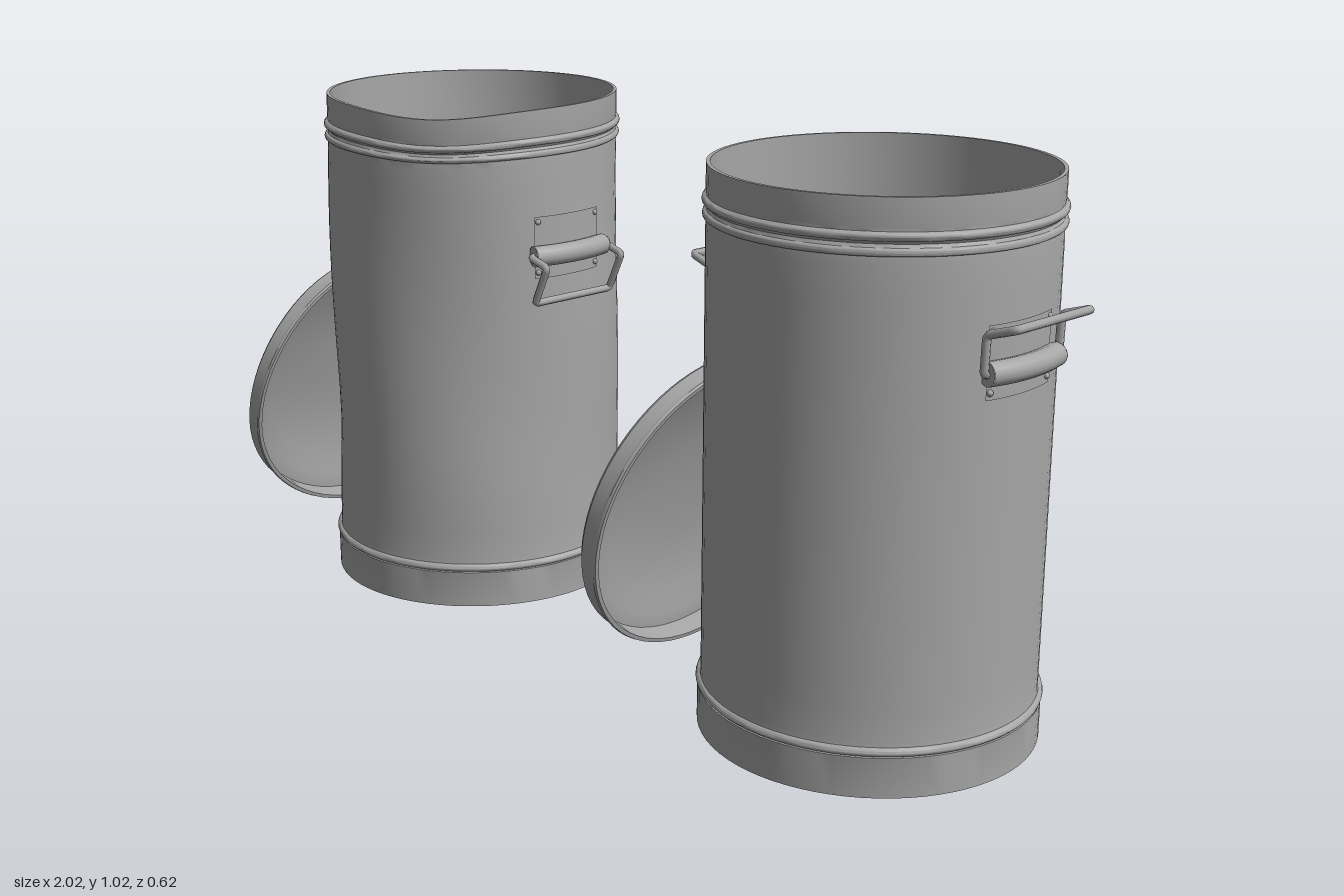
import * as THREE from 'three';
import { toCreasedNormals } from 'three/addons/utils/BufferGeometryUtils.js';

const metal = new THREE.MeshStandardMaterial({ color: 0xa6a6a6, side: THREE.DoubleSide });
metal.name = 'galvanised metal';

function add(parent, name, geometry) {
  const mesh = new THREE.Mesh(geometry, metal);
  mesh.name = name;
  parent.add(mesh);
  return mesh;
}

// Revolved profile, optionally reshaped by a rule, with crisp edges kept
function revolve(points, rule) {
  const geo = new THREE.LatheGeometry(points.map(([r, y]) => new THREE.Vector2(r, y)), 72);
  if (rule) {
    const p = geo.attributes.position, v = new THREE.Vector3();
    for (let i = 0; i < p.count; i++) {
      rule(v.fromBufferAttribute(p, i));
      p.setXYZ(i, v.x, v.y, v.z);
    }
  }
  return toCreasedNormals(geo, 0.6);
}

// Half-round bead bulging out from radius r at height y
function bead(r, y, size) {
  return [0, 1, 2, 3, 4, 5, 6].map(i => {
    const a = -Math.PI / 2 + i * Math.PI / 6;
    return [r + size * Math.cos(a), y + size * Math.sin(a)];
  });
}

// Rod through points with tightly rounded corners
function rod(points, radius, bend = 0.018) {
  const pts = points.map(p => new THREE.Vector3(...p));
  const path = new THREE.CurvePath();
  let from = pts[0];
  for (let i = 1; i < pts.length - 1; i++) {
    const c = pts[i];
    const a = c.clone().add(pts[i - 1].clone().sub(c).setLength(bend));
    const b = c.clone().add(pts[i + 1].clone().sub(c).setLength(bend));
    path.add(new THREE.LineCurve3(from, a));
    path.add(new THREE.QuadraticBezierCurve3(a, c, b));
    from = b;
  }
  path.add(new THREE.LineCurve3(from, pts[pts.length - 1]));
  return new THREE.TubeGeometry(path, 90, radius, 8);
}

// Gentle dents for the battered can
function dentBody(v) {
  const a = Math.atan2(v.z, v.x);
  const h = THREE.MathUtils.smoothstep(v.y, 0.1, 0.4);
  const s = 1 + h * (0.012 * Math.sin(2 * a + 5 * v.y) - 0.016 + 0.01 * Math.sin(3 * a - 7 * v.y))
    * (1 - 0.4 * THREE.MathUtils.smoothstep(v.y, 0.85, 1));
  v.x *= s;
  v.z *= s;
  const top = THREE.MathUtils.smoothstep(v.y, 0.85, 1.02);
  v.y -= top * 0.016 * Math.exp(-Math.pow((a - 0.95) / 0.5, 2));
}

function dentLid(v) {
  const a = Math.atan2(v.z, v.x), r = Math.hypot(v.x, v.z);
  v.y += 0.006 * Math.sin(3 * a + 1) * (r / 0.3) ** 2;
}

// Side handle on the +x wall: plate, rivets, curved barrel and swinging bail
function sideHandle(lowered) {
  const g = new THREE.Group();
  g.name = 'sideHandle';
  const plate = add(g, 'handlePlate',
    new THREE.CylinderGeometry(0.306, 0.306, 0.125, 12, 1, true, Math.PI / 2 - 0.27, 0.54));
  plate.position.y = 0.748;

  for (const side of [-1, 1]) for (const y of [0.698, 0.8]) {
    const rivet = add(g, 'rivet', new THREE.SphereGeometry(0.006, 10, 6));
    rivet.position.set(0.306 * Math.cos(0.245), y, side * 0.306 * Math.sin(0.245));
  }

  const arc = [-2, -1, 0, 1, 2].map(i => {
    const a = i * 0.145;
    return new THREE.Vector3(0.315 * Math.cos(a), 0.733, 0.315 * Math.sin(a));
  });
  const curve = new THREE.CatmullRomCurve3(arc);
  add(g, 'handleBarrel', new THREE.TubeGeometry(curve, 24, 0.021, 14));
  for (const end of [0, 4]) {
    const cap = add(g, 'barrelEnd', new THREE.CircleGeometry(0.021, 14));
    cap.position.copy(arc[end]);
    cap.rotation.y = end ? -0.29 : Math.PI + 0.29;
  }

  const [elbow, tip] = lowered
    ? [[0.352, 0.72], [0.314, 0.642]]
    : [[0.304, 0.8], [0.361, 0.819]];
  add(g, 'handleBail', rod([
    [0.302, 0.733, -0.08], [0.302, 0.733, -0.098], [...elbow, -0.098], [...tip, -0.098],
    [...tip, 0.098], [...elbow, 0.098], [0.302, 0.733, 0.098], [0.302, 0.733, 0.08],
  ], 0.0075, 0.008));
  return g;
}

function can(dented) {
  const g = new THREE.Group();
  g.name = dented ? 'dentedCan' : 'can';
  const wall = [], inner = [];
  for (let i = 0; i <= 14; i++) {
    wall.push([0.302, 0.1 + i * 0.058]);
    inner.push([0.295, 1.023 - i * 0.0665]);
  }
  add(g, 'canBody', revolve([
    [0, 0], [0.308, 0], [0.308, 0.074], ...bead(0.303, 0.083, 0.008),
    ...wall, ...bead(0.301, 0.935, 0.007), [0.299, 0.948], ...bead(0.301, 0.96, 0.008),
    [0.302, 0.975], [0.302, 1.023], ...inner, [0.295, 0.088], [0, 0.088],
  ], dented ? dentBody : null));

  g.add(sideHandle(dented));
  const opposite = sideHandle(false);
  opposite.rotation.y = Math.PI;
  g.add(opposite);
  return g;
}

function lid(dented) {
  const g = new THREE.Group();
  g.name = dented ? 'dentedLid' : 'lid';
  add(g, 'lidShell', revolve([
    [0, 0.08], [0.1, 0.078], [0.23, 0.065], [0.27, 0.046], [0.299, 0.042], [0.299, 0],
    [0.307, 0], [0.309, 0.005], [0.307, 0.01], [0.307, 0.04], [0.301, 0.048],
    [0.28, 0.053], [0.262, 0.062], [0.24, 0.075], [0.2, 0.082], [0.1, 0.089], [0, 0.092],
  ], dented ? dentLid : null));
  // Arched grip with flared feet
  const grip = new THREE.CatmullRomCurve3([
    [-0.062, 0.093], [-0.045, 0.096], [-0.034, 0.118], [-0.015, 0.133],
    [0.015, 0.133], [0.034, 0.118], [0.045, 0.096], [0.062, 0.093],
  ].map(([x, y]) => new THREE.Vector3(x, y, 0)));
  add(g, 'lidGrip', new THREE.TubeGeometry(grip, 40, 0.0065, 8));
  return g;
}

export function createModel() {
  const model = new THREE.Group();
  model.name = 'metalBins';
  for (const [x, lidX, dented] of [[-0.49, -0.88, true], [0.632, 0.246, false]]) {
    const body = can(dented);
    body.position.x = x;
    // Lid leans against the can, crown facing away
    const cover = lid(dented);
    cover.position.set(lidX, 0.31, 0);
    cover.rotation.z = 1.315;
    model.add(body, cover);
  }
  return model;
}
